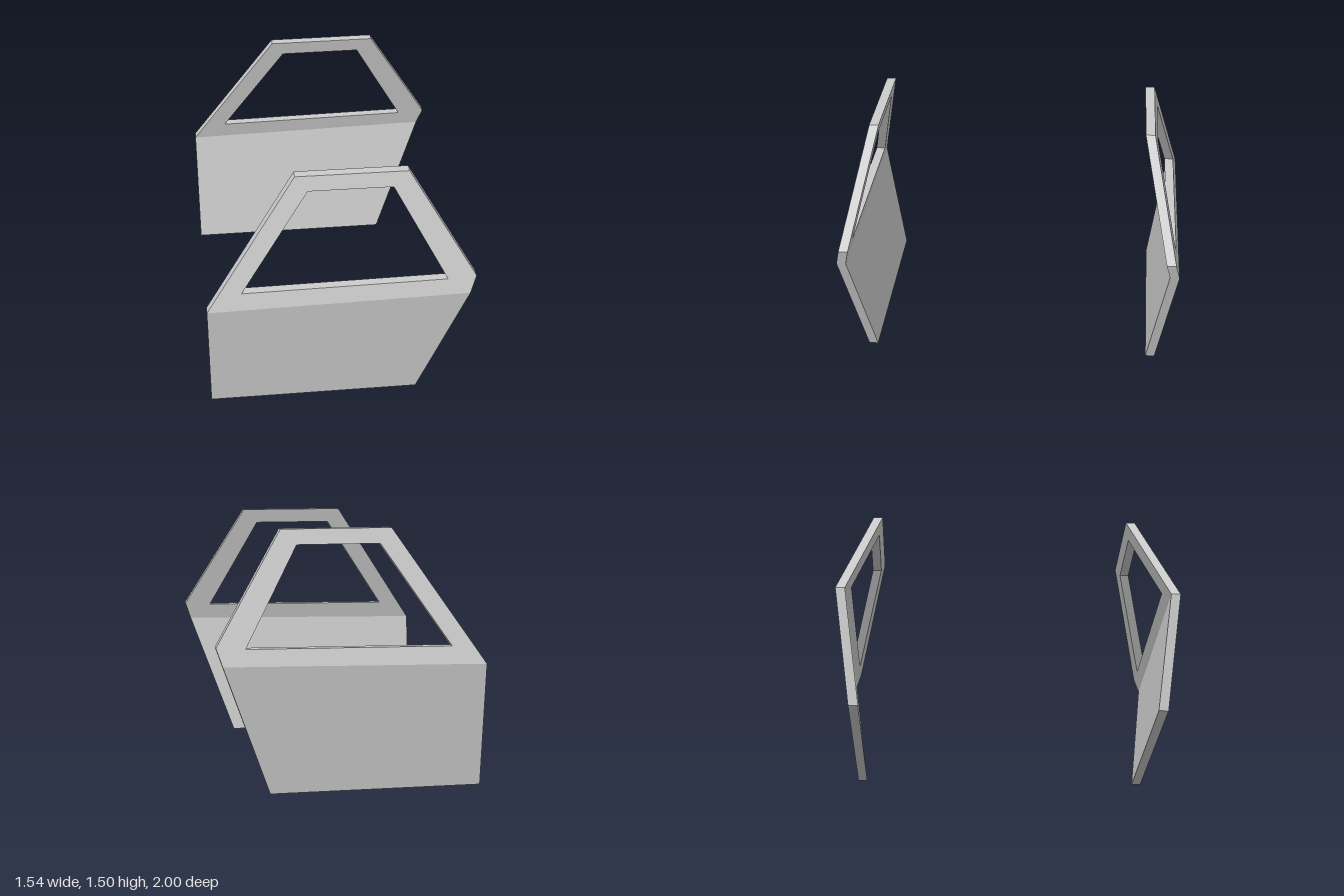
import * as THREE from 'three';

const P = (x, y) => new THREE.Vector2(x, y);
const THICK = 0.055;

// Belt line: the crease where the lower panel meets the window frame
const beltLeft = P(-0.77, 0.73), beltRight = P(0.735, 0.757);
const lower = [P(-0.77, 0), P(0.46, 0), beltRight, beltLeft];
const upper = [beltLeft, beltRight, P(0.77, 0.86), P(0.387, 1.497), P(-0.25, 1.497)];
const outline = [lower[0], lower[1], ...upper.slice(1), beltLeft];
const windowHole = [P(-0.57, 0.835), P(-0.18, 1.41), P(0.298, 1.41), P(0.605, 0.85)]; // clockwise

// Outer skin depth: leans out up to the belt line, then back in
function skinZ({ x, y }) {
  const belt = 0.7438 + 0.01794 * x;
  const above = Math.max(0, y - belt);
  return 0.89 + 0.1453 * Math.min(y, belt) - 0.231 * above;
}

function doorGeometry(side) {
  const pos = [];
  const outer = p => [p.x, p.y, side * skinZ(p)];
  const inner = p => [p.x, p.y, side * (skinZ(p) - THICK)];
  const tri = (a, b, c) => pos.push(...a, ...(side > 0 ? b : c), ...(side > 0 ? c : b));

  // Outer and inner skins
  const skin = (contour, holes) => {
    const pts = [contour, ...holes].flat();
    for (const [a, b, c] of THREE.ShapeUtils.triangulateShape(contour, holes)) {
      tri(outer(pts[a]), outer(pts[b]), outer(pts[c]));
      tri(inner(pts[c]), inner(pts[b]), inner(pts[a]));
    }
  };
  skin(lower, []);
  skin(upper, [windowHole]);

  // Edge walls around the door and inside the window opening
  for (const loop of [outline, windowHole]) {
    loop.forEach((a, i) => {
      const b = loop[(i + 1) % loop.length];
      tri(inner(a), inner(b), outer(b));
      tri(inner(a), outer(b), outer(a));
    });
  }

  const geo = new THREE.BufferGeometry();
  geo.setAttribute('position', new THREE.Float32BufferAttribute(pos, 3));
  geo.computeVertexNormals();
  return geo;
}

export function createModel() {
  const group = new THREE.Group();
  group.name = 'vehicleDoors';
  const material = new THREE.MeshStandardMaterial({ color: 0xcccccc, flatShading: true });
  // Mirrored pair of doors
  for (const [name, side] of [['doorFrontSide', 1], ['doorBackSide', -1]]) {
    const door = new THREE.Mesh(doorGeometry(side), material);
    door.name = name;
    group.add(door);
  }
  return group;
}
